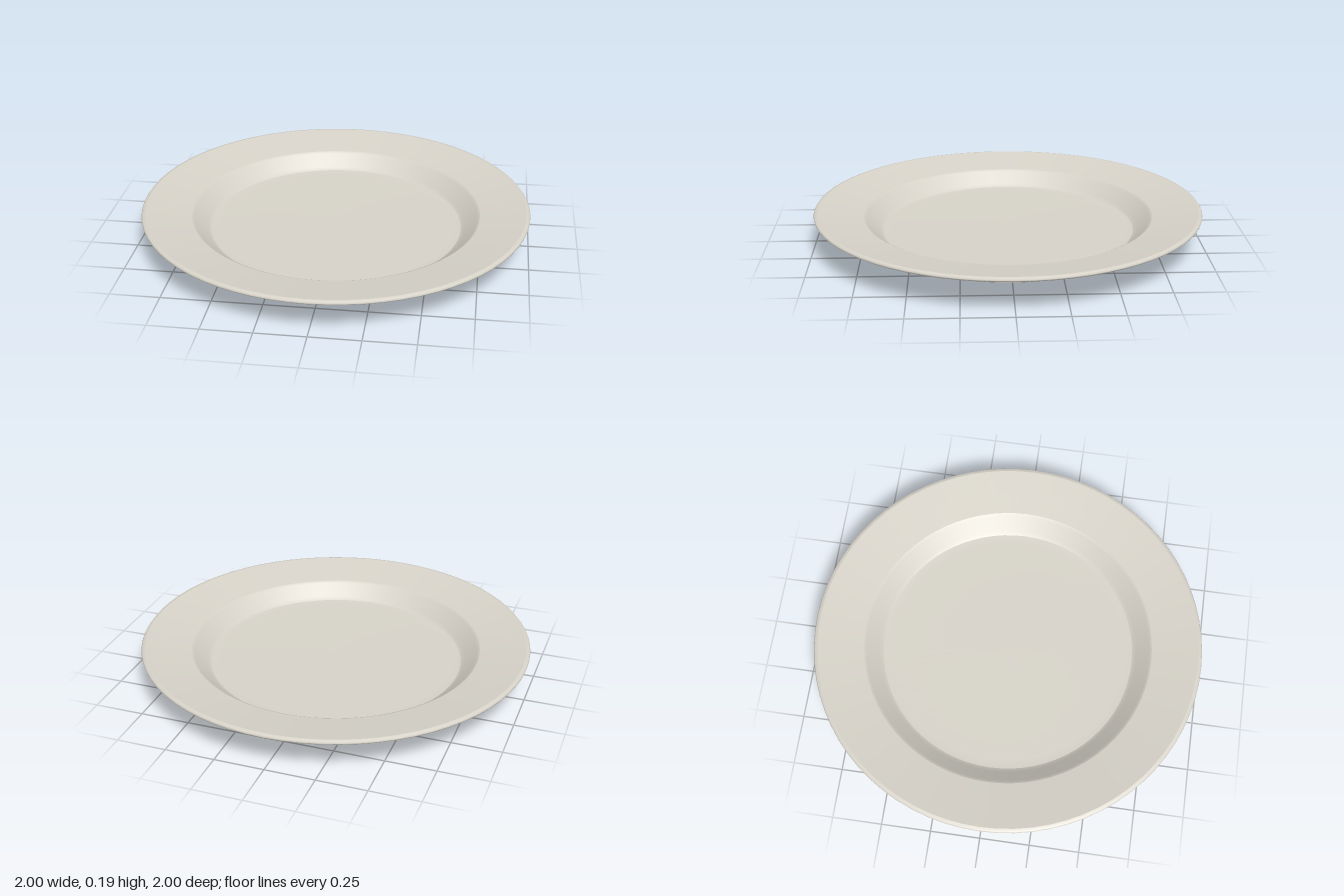
import * as THREE from 'three';

const SEGMENTS = 72;

export function createModel() {
  const plate = new THREE.Group();
  plate.name = 'plate';
  const glaze = new THREE.MeshStandardMaterial({ color: 0xd6d2c8 });
  glaze.name = 'warm grey glaze';

  // Each band is a lathe; separate bands keep the edges between them crisp.
  const band = (name, profile) => {
    const points = profile.map(([r, y]) => new THREE.Vector2(r, y));
    const mesh = new THREE.Mesh(new THREE.LatheGeometry(points, SEGMENTS), glaze);
    mesh.name = name;
    plate.add(mesh);
  };

  // Underside, from the centre outwards
  band('baseUnderside', [[0, 0.03], [0.565, 0.03]]);
  band('footRingInside', [[0.565, 0.03], [0.575, 0.005]]);
  band('footRingBottom', [[0.575, 0.005], [0.582, 0], [0.6, 0], [0.612, 0.006]]);
  band('footRingOutside', [[0.612, 0.006], [0.616, 0.02], [0.617, 0.038]]);
  band('baseLedge', [[0.617, 0.038], [0.655, 0.04]]);
  band('wellOutside', [[0.655, 0.04], [0.675, 0.049], [0.73, 0.1], [0.755, 0.118]]);
  band('rimUnderside', [[0.755, 0.118], [0.99, 0.166]]);

  // Rounded lip
  band('lip', [[0.99, 0.166], [0.998, 0.171], [1, 0.177], [0.995, 0.184], [0.98, 0.187]]);

  // Upper side, from the lip inwards
  band('rimTop', [[0.98, 0.187], [0.86, 0.168], [0.745, 0.15]]);
  band('wellInside', [[0.745, 0.15], [0.73, 0.142], [0.67, 0.085], [0.65, 0.073]]);
  band('wellFloor', [[0.65, 0.073], [0.6, 0.068], [0, 0.066]]);

  return plate;
}
